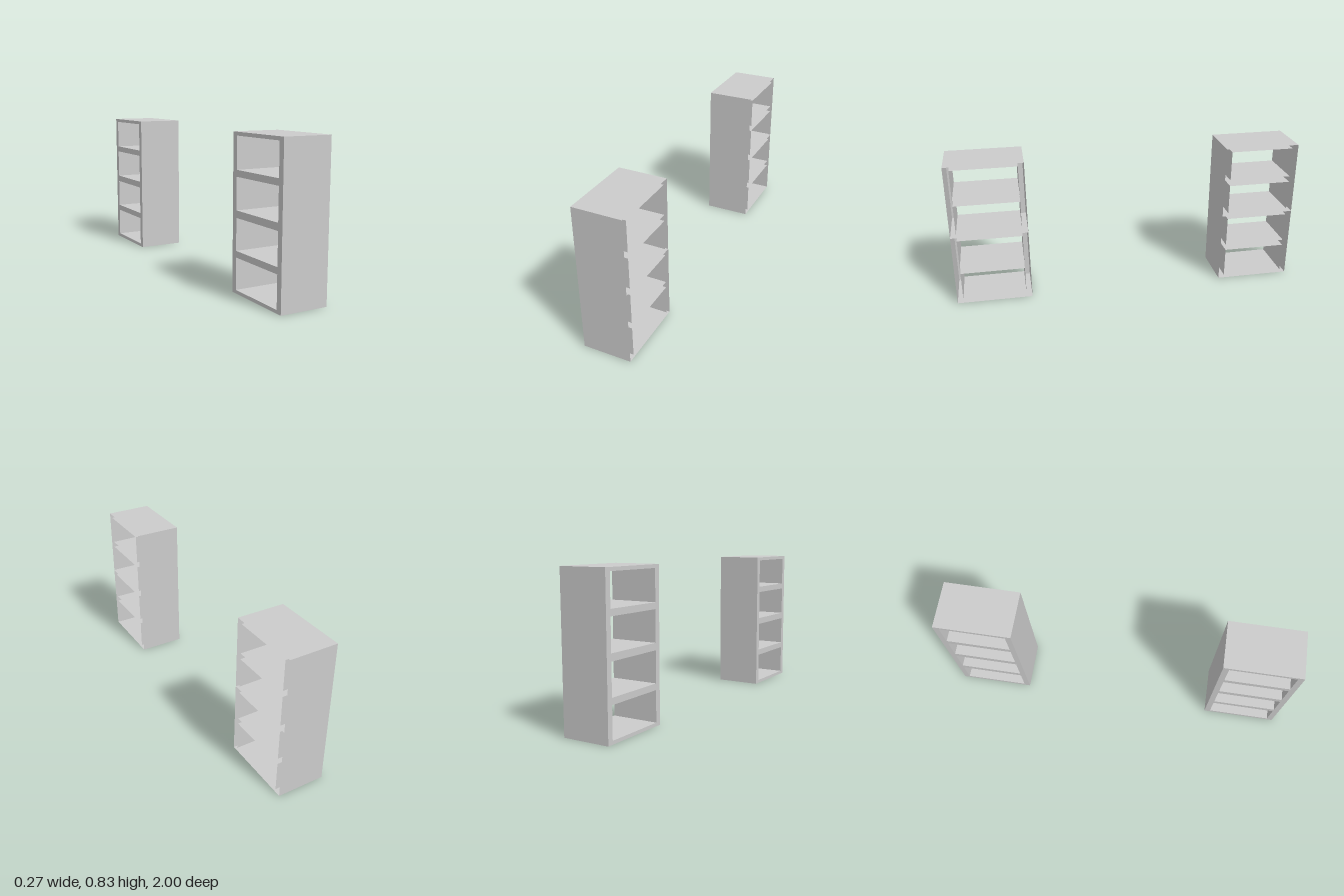
import * as THREE from 'three';

const DEPTH = 0.272;      // along x
const WIDTH = 0.43;       // along z
const MODULE_H = 0.4175;  // one stacked module, two cells high
const CELL_W = 0.363, CELL_H = 0.172, CELL_OFFSET = 0.1035;

export function createModel() {
  const model = new THREE.Group();
  const material = new THREE.MeshStandardMaterial({
    color: 0xcccccc, side: THREE.DoubleSide, flatShading: true,
  });

  const add = (parent, name, geometry, y = 0) => {
    const mesh = new THREE.Mesh(geometry, material);
    mesh.name = name;
    mesh.position.y = y;
    parent.add(mesh);
  };

  // Four thin walls around a rectangle, open at both x ends
  const sleeve = (w, h) => new THREE.CylinderGeometry(Math.SQRT1_2, Math.SQRT1_2, 1, 4, 1, true, Math.PI / 4)
    .rotateZ(Math.PI / 2)
    .scale(DEPTH, h, w);

  const trace = (path, w, h, cy) => path
    .moveTo(-w / 2, cy - h / 2)
    .lineTo(w / 2, cy - h / 2)
    .lineTo(w / 2, cy + h / 2)
    .lineTo(-w / 2, cy + h / 2)
    .closePath();

  // Flat frame with two cell openings, closing the hollow walls on the -x side
  const shape = new THREE.Shape();
  trace(shape, WIDTH, MODULE_H, 0);
  for (const s of [-1, 1]) {
    const hole = new THREE.Path();
    trace(hole, CELL_W, CELL_H, s * CELL_OFFSET);
    shape.holes.push(hole);
  }
  const frame = new THREE.ShapeGeometry(shape)
    .rotateY(-Math.PI / 2)
    .translate(-DEPTH / 2, 0, 0);
  const casing = sleeve(WIDTH, MODULE_H);
  const cell = sleeve(CELL_W, CELL_H);

  // Two matching shelf units, each made of two stacked modules
  for (const side of [-1, 1]) {
    const unit = new THREE.Group();
    unit.name = side > 0 ? 'frontShelfUnit' : 'backShelfUnit';
    unit.position.z = side * (1 - WIDTH / 2);
    for (let level = 0; level < 2; level++) {
      const module = new THREE.Group();
      module.name = level ? 'upperModule' : 'lowerModule';
      module.position.y = (level + 0.5) * MODULE_H;
      add(module, 'casing', casing);
      add(module, 'frame', frame);
      add(module, 'lowerCell', cell, -CELL_OFFSET);
      add(module, 'upperCell', cell, CELL_OFFSET);
      unit.add(module);
    }
    model.add(unit);
  }
  return model;
}
